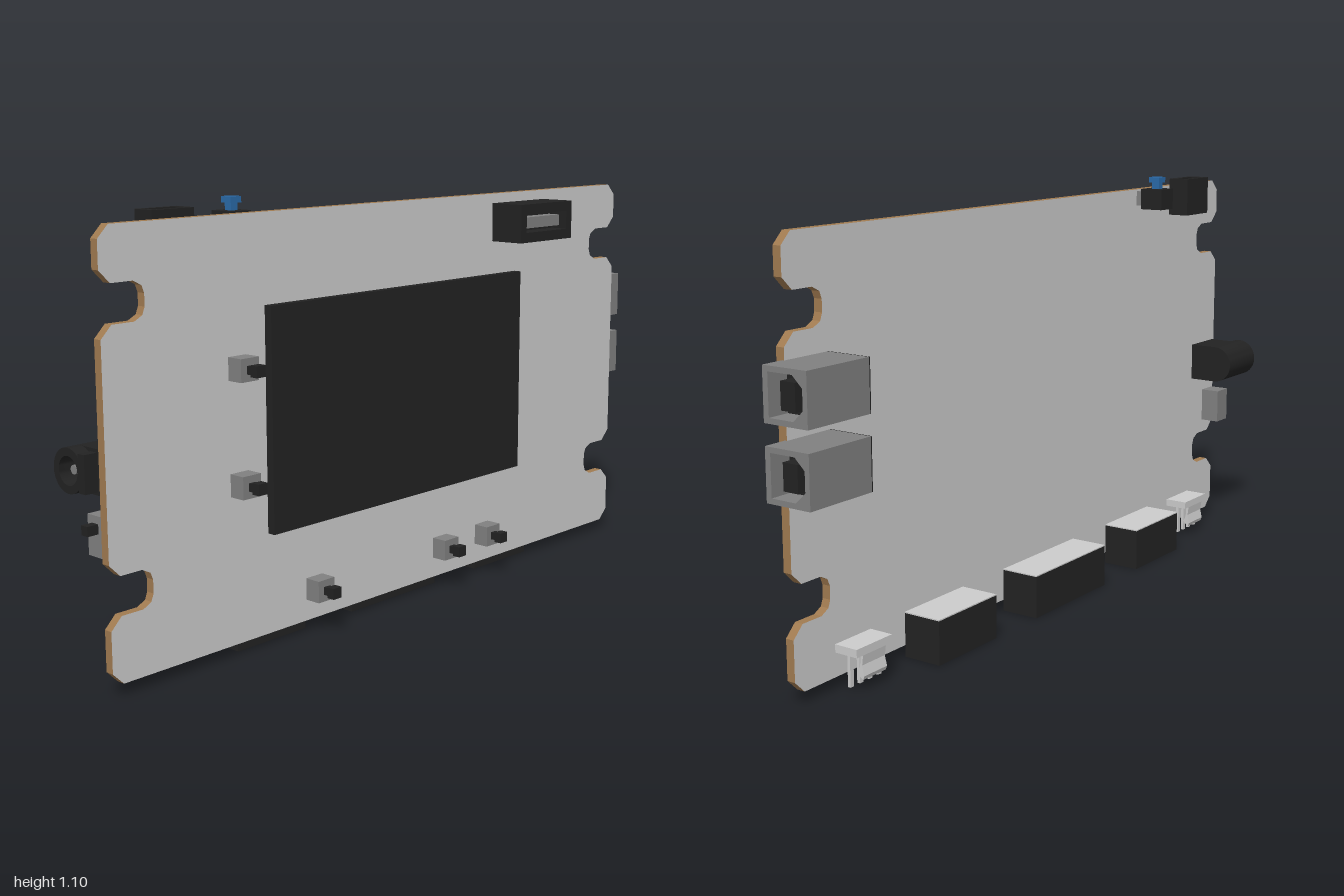
import * as THREE from 'three';
import { toCreasedNormals } from 'three/addons/utils/BufferGeometryUtils.js';

const mat = (color) => new THREE.MeshStandardMaterial({ color });
const grey = mat(0xcccccc), steel = mat(0x808080), black = mat(0x222222);
const brown = mat(0xa07a50), blue = mat(0x2a6aa8);

function add(parent, name, geometry, material, x = 0, y = 0, z = 0) {
  const mesh = new THREE.Mesh(geometry, material);
  mesh.name = name;
  mesh.position.set(x, y, z);
  parent.add(mesh);
  return mesh;
}

// Box given by its extents on each axis
function box(parent, name, material, [x0, x1], [y0, y1], [z0, z1]) {
  return add(parent, name, new THREE.BoxGeometry(x1 - x0, y1 - y0, z1 - z0), material,
    (x0 + x1) / 2, (y0 + y1) / 2, (z0 + z1) / 2);
}

function group(parent, name, x, y, z) {
  const g = new THREE.Group();
  g.name = name;
  g.position.set(x, y, z);
  parent.add(g);
  return g;
}

const shapeOf = (pts) => new THREE.Shape(pts.map(([x, y]) => new THREE.Vector2(x, y)));
const rect = (w, h) => [[-w / 2, -h / 2], [w / 2, -h / 2], [w / 2, h / 2], [-w / 2, h / 2]];
const extrude = (shape, depth) => new THREE.ExtrudeGeometry(shape, { depth, bevelEnabled: false });

// Socket along local z, open at its +z end (z = 0), with a floor at -recess
function socket(parent, name, w, h, d, recess, hole, material, floor) {
  const g = group(parent, name, 0, 0, 0);
  const shape = shapeOf(rect(w, h));
  shape.holes.push(shapeOf(hole));
  add(g, 'rim', extrude(shape, recess), material, 0, 0, -recess);
  box(g, 'body', floor, [-w / 2, w / 2], [-h / 2, h / 2], [-d, -recess]);
  return g;
}

// Circuit board outline: chamfered corners and two notches on each side
function board(parent) {
  const cx = -0.018, half = 0.957, c = 0.03;
  const right = [[half - c, 0.03], [half, 0.03 + c]];
  for (const [lo, hi] of [[0.19, 0.283], [0.848, 0.938]]) {
    const deep = half - 0.122;
    right.push([half, lo - c], [half - c, lo], [deep + c, lo], [deep + 0.007, lo + 0.012], [deep, lo + c],
      [deep, hi - c], [deep + 0.007, hi - 0.012], [deep + c, hi], [half - c, hi], [half, hi + c]);
  }
  right.push([half, 1.065 - c], [half - c, 1.065]);
  const left = right.map(([x, y]) => [-x, y]).reverse();
  add(parent, 'circuitBoard', extrude(shapeOf([...right, ...left]), 0.023), [grey, brown], cx, 0, 0.005);
}

// Push button standing on the front
function button(parent, x, y) {
  const g = group(parent, 'pushButton', x, y, 0.028);
  box(g, 'buttonBase', steel, [-0.028, 0.028], [-0.028, 0.028], [0, 0.044]);
  box(g, 'buttonNeck', black, [-0.01, 0.01], [-0.01, 0.01], [0.044, 0.062]);
  box(g, 'buttonCap', black, [-0.014, 0.014], [-0.014, 0.014], [0.06, 0.082]);
}

// Square port on the model's left edge
function sidePort(parent, y) {
  const hole = [[-0.048, -0.05], [0.022, -0.05], [0.05, -0.024], [0.05, 0.024], [0.022, 0.05], [-0.048, 0.05]];
  const g = socket(parent, 'sidePort', 0.126, 0.126, 0.197, 0.06, hole, steel, steel);
  add(g, 'portLining', extrude(shapeOf(hole), 0.002), black, 0, 0, -0.06);
  box(g, 'portTongue', black, [-0.02, 0.022], [-0.032, 0.032], [-0.06, -0.008]);
  box(g, 'portBack', black, [-0.063, 0.063], [-0.063, 0.063], [-0.2, -0.197]);
  g.position.set(1, y, -0.052);
  g.rotation.y = Math.PI / 2;
}

// Wide port opening downward, with a metal plate on top
function bottomPort(parent, x, w) {
  const g = socket(parent, 'bottomPort', w, 0.105, 0.112, 0.06, rect(w - 0.04, 0.065), black, black);
  box(g, 'portTongue', black, [-w / 2 + 0.04, w / 2 - 0.04], [-0.012, 0.012], [-0.06, -0.01]);
  box(g, 'topPlate', grey, [-w / 2, w / 2], [-0.0525, 0.0525], [-0.115, -0.112]);
  g.position.set(x, 0, -0.0475);
  g.rotation.x = Math.PI / 2;
}

// Small pin header with a curved retaining clip
function pinHeader(parent, x) {
  const g = group(parent, 'pinHeader', x, 0, 0);
  box(g, 'headerPlate', grey, [-0.062, 0.062], [0.09, 0.11], [-0.06, 0.005]);
  for (let i = 0; i < 4; i++) {
    const px = -0.048 + i * 0.032;
    box(g, 'headerPin', grey, [px - 0.006, px + 0.006], [0.01, 0.09], [-0.032, -0.024]);
  }
  const clip = shapeOf([[0.052, 0.092], [0.06, 0.092], [0.056, 0.065], [0.062, 0.04], [0.058, 0.03],
    [0.046, 0.038], [0.043, 0.045], [0.05, 0.062]]);
  const m = add(g, 'headerClip', extrude(clip, 0.08), grey, 0.04, 0, 0);
  m.rotation.y = Math.PI / 2;
  m.position.x = -0.04;
}

export function createModel() {
  const model = new THREE.Group();
  model.name = 'circuitBoardAssembly';

  board(model);
  box(model, 'screen', black, [-0.495, 0.46], [0.285, 0.845], [0.028, 0.05]);

  for (const [x, y] of [[-0.585, 0.707], [-0.585, 0.427], [-0.34, 0.113], [0.145, 0.113], [0.325, 0.113]])
    button(model, x, y);

  // Front port
  const front = socket(model, 'frontPort', 0.228, 0.104, 0.1, 0.05, rect(0.18, 0.05), black, black);
  box(front, 'portTongue', steel, [-0.076, 0.076], [-0.015, 0.015], [-0.05, -0.015]);
  front.position.set(0.474, 0.987, 0.128);

  for (const y of [0.727, 0.551]) sidePort(model, y);
  for (const [x, w] of [[-0.465, 0.23], [-0.015, 0.33], [0.44, 0.23]]) bottomPort(model, x, w);
  for (const x of [0.743, -0.762]) pinHeader(model, x);

  // Small port on the top edge
  const top = socket(model, 'topPort', 0.122, 0.06, 0.105, 0.04, rect(0.09, 0.034), black, black);
  box(top, 'portTongue', steel, [-0.032, 0.032], [-0.005, 0.005], [-0.04, -0.008]);
  top.position.set(-0.746, 1.085, -0.025);
  top.rotation.x = -Math.PI / 2;

  // Blue button on the top edge
  const reset = group(model, 'topButton', -0.53, 0, 0);
  box(reset, 'buttonBase', steel, [-0.03, 0.03], [1.02, 1.06], [-0.01, 0.005]);
  box(reset, 'buttonBody', black, [-0.032, 0.032], [1.01, 1.067], [-0.077, -0.01]);
  box(reset, 'buttonNeck', blue, [-0.01, 0.01], [1.067, 1.087], [-0.055, -0.033]);
  box(reset, 'buttonCap', blue, [-0.017, 0.017], [1.085, 1.1], [-0.06, -0.027]);

  // Round power jack on the model's right edge
  const jack = group(model, 'powerJack', -0.84, 0.517, -0.074);
  const profile = [[0, 0], [0.053, 0], [0.053, 0.16], [0.034, 0.16], [0.034, 0.06], [0, 0.06]]
    .map(([x, y]) => new THREE.Vector2(x, y));
  const barrel = add(jack, 'jackBarrel', toCreasedNormals(new THREE.LatheGeometry(profile, 32), 0.6), black);
  barrel.rotation.z = Math.PI / 2;
  const pin = add(jack, 'jackPin', new THREE.CylinderGeometry(0.011, 0.011, 0.09, 16), steel, -0.1);
  pin.rotation.z = Math.PI / 2;
  box(jack, 'jackFoot', black, [-0.125, 0], [-0.053, 0.053], [0, 0.079]);
  box(jack, 'jackLip', black, [-0.16, -0.125], [-0.045, 0.045], [0.038, 0.06]);

  // Slide switch
  const slide = group(model, 'slideSwitch', 0, 0, 0);
  box(slide, 'switchBody', steel, [-0.97, -0.91], [0.322, 0.418], [-0.05, 0.005]);
  box(slide, 'switchLever', black, [-1, -0.97], [0.377, 0.4], [-0.034, -0.012]);

  return model;
}
